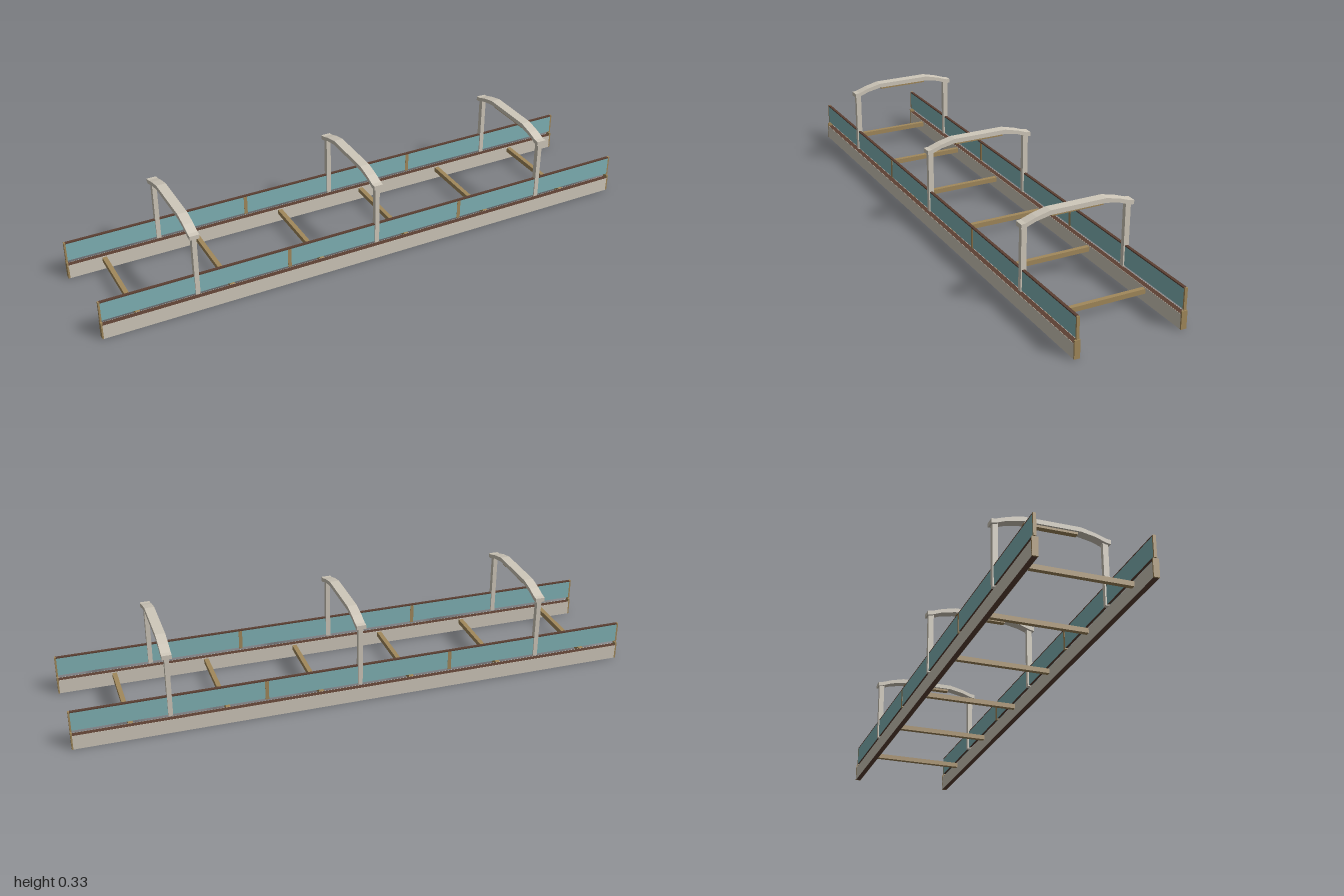
import * as THREE from 'three';

const mat = (name, color) => {
  const m = new THREE.MeshStandardMaterial({ color });
  m.name = name;
  return m;
};

export function createModel() {
  const model = new THREE.Group();
  model.name = 'walkwayFrame';
  const grey = mat('warm light grey', 0xcfc8ba);
  const bronze = mat('bronze', 0xa1885b);
  const darkBrown = mat('dark brown', 0x5c4033);
  const glass = mat('teal glass', 0x80b3b6);

  // Box given by its lower and upper corners
  const box = (parent, name, material, [x0, y0, z0], [x1, y1, z1]) => {
    const mesh = new THREE.Mesh(new THREE.BoxGeometry(x1 - x0, y1 - y0, z1 - z0), material);
    mesh.position.set((x0 + x1) / 2, (y0 + y1) / 2, (z0 + z1) / 2);
    mesh.name = name;
    parent.add(mesh);
  };

  const archSpots = [-0.667, 0, 0.667];

  for (const s of [1, -1]) {
    const side = new THREE.Group();
    side.name = s > 0 ? 'frontSide' : 'backSide';
    // Box mirrored to the back side
    const sideBox = (name, m, x0, x1, y0, y1, z0, z1) =>
      box(side, name, m, [x0, y0, Math.min(s * z0, s * z1)], [x1, y1, Math.max(s * z0, s * z1)]);

    // Lower beam: dark core, grey facings
    sideBox('beamCore', darkBrown, -0.995, 0.995, 0, 0.052, 0.179, 0.197);
    sideBox('beamOuterFacing', grey, -0.995, 0.995, 0, 0.052, 0.197, 0.198);
    sideBox('beamInnerFacing', grey, -0.995, 0.995, 0, 0.052, 0.178, 0.179);
    // Guard panel: dark core and top rail, teal panes both sides
    sideBox('panelCore', darkBrown, -0.995, 0.995, 0.07, 0.137, 0.184, 0.192);
    sideBox('panelTopRail', darkBrown, -0.995, 0.995, 0.137, 0.141, 0.183, 0.193);
    for (const x of archSpots) {
      sideBox('outerPane', glass, x - 0.327, x + 0.327, 0.07, 0.137, 0.192, 0.193);
      sideBox('innerPane', glass, x - 0.327, x + 0.327, 0.07, 0.137, 0.183, 0.184);
    }
    // Bronze dividers, panel ends and beam end caps
    for (const x of [-0.3335, 0.3335])
      sideBox('panelDivider', bronze, x - 0.0065, x + 0.0065, 0.066, 0.137, 0.1825, 0.1935);
    for (const x of [-0.997, 0.997]) {
      sideBox('panelEnd', bronze, x - 0.003, x + 0.003, 0.0655, 0.141, 0.183, 0.193);
      sideBox('beamEndCap', bronze, x - 0.003, x + 0.003, 0, 0.063, 0.178, 0.198);
    }
    // Posts that carry the arches
    for (const x of archSpots)
      sideBox('post', grey, x - 0.008, x + 0.008, 0.066, 0.292, 0.178, 0.197);
    model.add(side);
  }

  // Arches: side profile extruded along x
  const top = [[0.1, 0.327], [0.15, 0.315], [0.187, 0.302], [0.203, 0.3]];
  const bottom = [[0.203, 0.285], [0.187, 0.287], [0.15, 0.301], [0.1, 0.311]];
  const half = [...top, ...bottom];
  const outline = [...half, ...half.map(([z, y]) => [-z, y]).reverse()];
  const shape = new THREE.Shape(outline.map(([z, y]) => new THREE.Vector2(z, y)));
  const archGeometry = new THREE.ExtrudeGeometry(shape, { depth: 0.034, bevelEnabled: false });
  archGeometry.translate(0, 0, -0.017);
  archGeometry.rotateY(Math.PI / 2);
  for (const x of archSpots) {
    const arch = new THREE.Mesh(archGeometry, grey);
    arch.name = 'arch';
    arch.position.x = x;
    model.add(arch);
    box(model, 'archUnderStrip', bronze, [x - 0.01, 0.303, -0.092], [x + 0.01, 0.311, 0.092]);
  }

  // Crossbars between the beams
  for (let i = 0; i < 6; i++) {
    const x = -0.868 + i * 0.3333;
    box(model, 'crossbar', bronze, [x - 0.008, 0.031, -0.178], [x + 0.008, 0.048, 0.178]);
  }
  return model;
}
